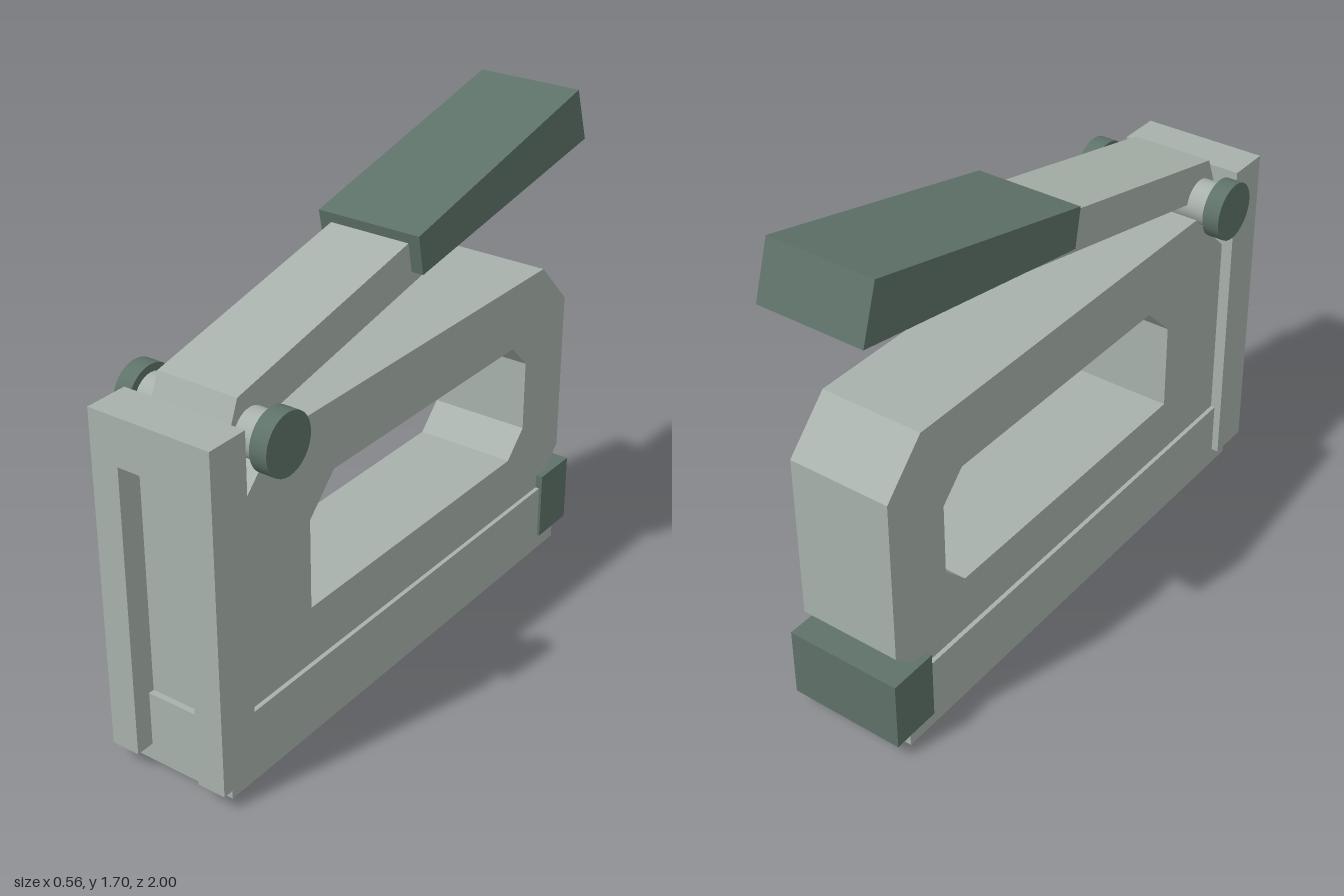
import * as THREE from 'three';

const grey = new THREE.MeshStandardMaterial({ color: 0xa8b1ab });
grey.name = 'greyMetal';
const green = new THREE.MeshStandardMaterial({ color: 0x5e7269 });
green.name = 'darkGreenPlastic';

const toPoints = (list) => list.map(([a, b]) => new THREE.Vector2(a, b));

export function createModel() {
  const model = new THREE.Group();
  model.name = 'stapleGun';

  const add = (name, geometry, material) => {
    const mesh = new THREE.Mesh(geometry, material);
    mesh.name = name;
    model.add(mesh);
    return mesh;
  };

  // Side profile of [z, y] points, extruded across x and centred
  const sideProfile = (outline, width, hole) => {
    const shape = new THREE.Shape(toPoints(outline));
    if (hole) shape.holes.push(new THREE.Path(toPoints(hole)));
    const geometry = new THREE.ExtrudeGeometry(shape, { depth: width, bevelEnabled: false });
    return geometry.translate(0, 0, -width / 2).rotateY(-Math.PI / 2);
  };

  // Box centred on x, from y and z ranges
  const box = (width, y0, y1, z0, z1) =>
    new THREE.BoxGeometry(width, y1 - y0, z1 - z0).translate(0, (y0 + y1) / 2, (z0 + z1) / 2);

  // Body with the hand opening
  add('body', sideProfile(
    [[0.86, 0.24], [0.86, 0.92], [0.67, 1.11], [-0.78, 1.11], [-0.935, 0.95],
      [-0.935, 0.37], [-0.8, 0.24]],
    0.36,
    [[0.52, 0.45], [0.52, 0.76], [0.4, 0.88], [-0.6, 0.88], [-0.69, 0.79],
      [-0.69, 0.54], [-0.6, 0.45]]), grey);

  // Staple magazine and its rear cap
  add('magazine', box(0.39, 0, 0.25, -0.905, 0.935), grey);
  add('magazineCap', box(0.41, 0.055, 0.3, -0.975, -0.8), green);

  // Front plate with a slot open at the bottom, and the panel set back in it
  const plate = new THREE.Shape(toPoints([
    [-0.22, 0.06], [-0.12, 0.06], [-0.12, 1.06], [0.12, 1.06], [0.12, 0.06],
    [0.22, 0.06], [0.22, 1.22], [-0.22, 1.22]]));
  add('frontPlate', new THREE.ExtrudeGeometry(plate, { depth: 0.15, bevelEnabled: false })
    .translate(0, 0, 0.85), grey);
  add('slotPanel', box(0.24, 0.06, 1.06, 0.85, 0.915), grey);

  // Lever and its grip
  add('lever', sideProfile(
    [[0.85, 1.12], [0.79, 1.27], [-0.94, 1.65], [-0.985, 1.505]], 0.29), grey);
  add('leverGrip', sideProfile(
    [[-0.045, 1.35], [-0.02, 1.483], [-0.94, 1.695], [-1, 1.51]], 0.375), green);

  // Pivot pin with a knob on each end
  const disc = (radius, length) =>
    new THREE.CylinderGeometry(radius, radius, length, 32).rotateZ(Math.PI / 2);
  add('pivotPin', disc(0.075, 0.46), grey).position.set(0, 1.145, 0.737);
  for (const side of [1, -1]) {
    add(side > 0 ? 'leftKnob' : 'rightKnob', disc(0.1, 0.06), green)
      .position.set(side * 0.25, 1.145, 0.737);
  }

  return model;
}
